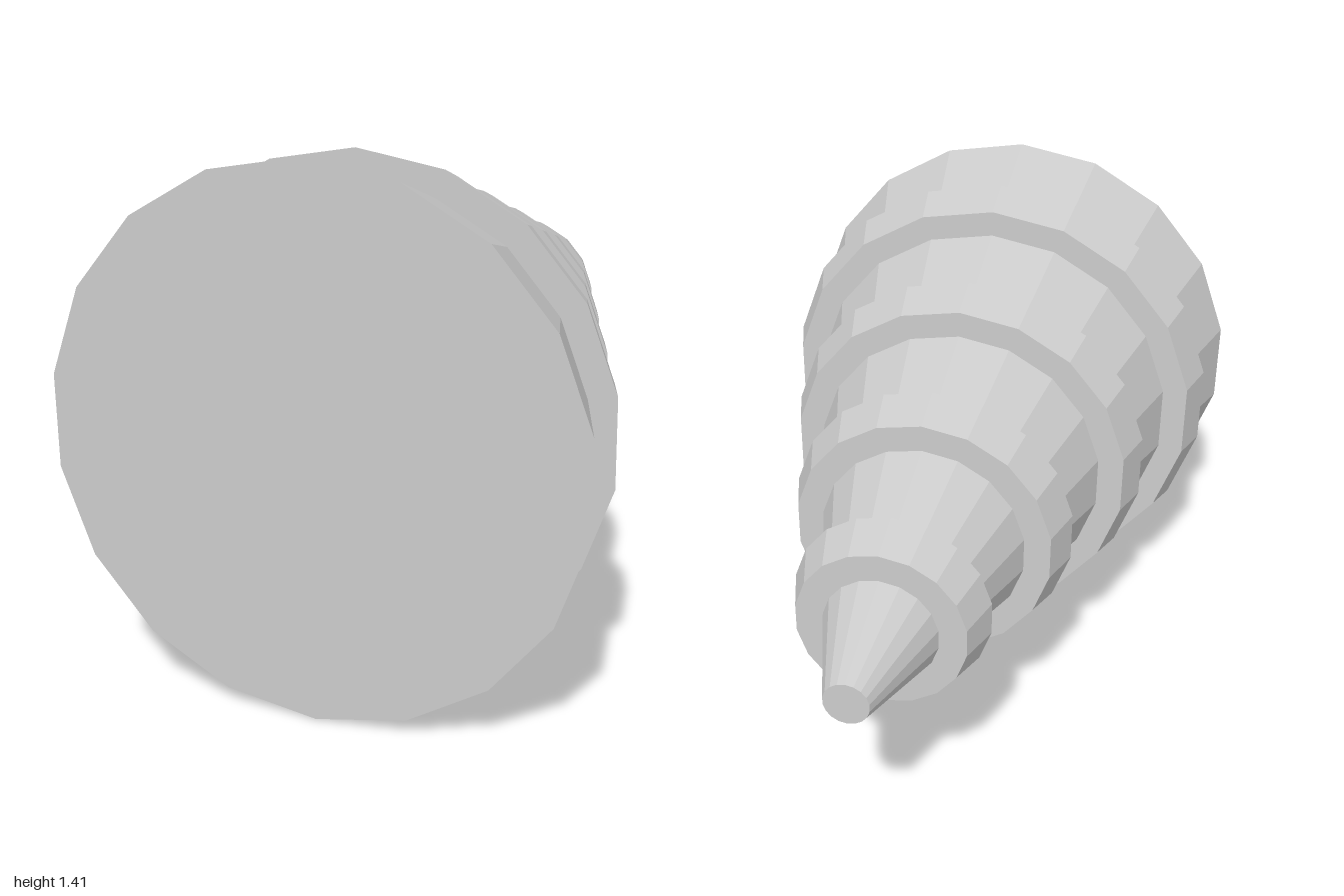
import * as THREE from 'three';

const SIDES = 18;
const CENTRE_Y = 0.708;
const BASE_RADIUS = 0.707;
const TIP_RADIUS = 0.061;

// Radius of the tapered body at a given z (base at z = 1, tip at z = -1)
const bodyRadius = (z) => THREE.MathUtils.mapLinear(z, 1, -1, BASE_RADIUS, TIP_RADIUS);

export function createModel() {
  const model = new THREE.Group();
  model.name = 'ringedCone';
  const material = new THREE.MeshStandardMaterial({ color: 0xcccccc, flatShading: true });

  // Closed faceted frustum along z, following the body taper with an offset
  const addFrustum = (name, front, back, offset) => {
    const geometry = new THREE.CylinderGeometry(
      bodyRadius(front) + offset, bodyRadius(back) + offset, front - back, SIDES);
    geometry.rotateX(Math.PI / 2);
    const mesh = new THREE.Mesh(geometry, material);
    mesh.name = name;
    mesh.position.set(0, CENTRE_Y, (front + back) / 2);
    model.add(mesh);
  };

  // Tapered body
  addFrustum('coneBody', 1, -1, 0);

  // Four evenly spaced raised bands
  for (let i = 0; i < 4; i++) {
    const front = 0.69 - i * 0.4235;
    addFrustum(`band${i + 1}`, front, front - 0.12, 0.076);
  }

  return model;
}
